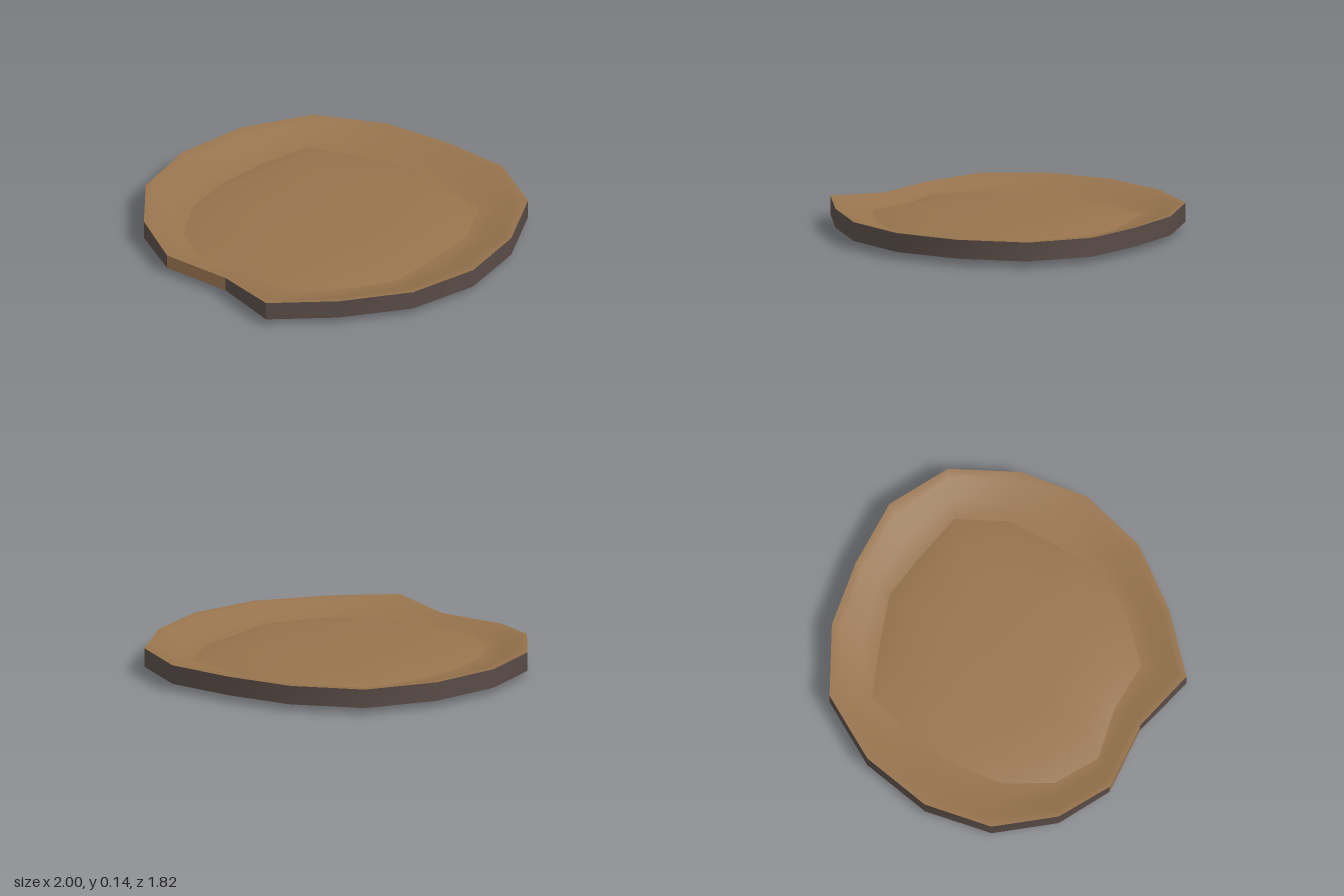
import * as THREE from 'three';

// Outer rim and inner valley outlines as [x, z], clockwise from the back
const OUTER = [
  [0.07, -0.91], [0.43, -0.75], [0.7, -0.505], [0.935, -0.22],
  [1, 0.135], [0.84, 0.48], [0.585, 0.745], [0.235, 0.895],
  [-0.16, 0.905], [-0.535, 0.848], [-0.685, 0.527], [-0.94, 0.25],
  [-1, -0.06], [-0.92, -0.405], [-0.675, -0.68], [-0.325, -0.86],
];
const INNER = [
  [0, -0.7], [0.26, -0.55], [0.49, -0.4], [0.61, -0.2],
  [0.75, 0.07], [0.63, 0.33], [0.36, 0.55], [0.2, 0.67],
  [-0.09, 0.7], [-0.37, 0.66], [-0.54, 0.44], [-0.76, 0.26],
  [-0.8, 0], [-0.7, -0.25], [-0.51, -0.44], [-0.28, -0.58],
];
const N = OUTER.length;
const TIP = 9, NOTCH_A = 10, NOTCH_B = 11;
const WALL_BOTTOM = 0.035, VALLEY = 0.073;

// The rim dips along the notch
const rimHeight = (i) => (i === NOTCH_A || i === NOTCH_B ? 0.11 : 0.135);

// Skin between rows of points; closed rows join their last point to the first
function loft(rows, closed) {
  const n = rows[0].length;
  const index = [];
  for (let r = 0; r < rows.length - 1; r++) {
    for (let i = 0; i < (closed ? n : n - 1); i++) {
      const j = (i + 1) % n;
      const a = r * n + i, b = r * n + j, c = a + n, d = b + n;
      index.push(a, c, b, b, c, d);
    }
  }
  const g = new THREE.BufferGeometry();
  g.setAttribute('position', new THREE.Float32BufferAttribute(rows.flat(2), 3));
  g.setIndex(index);
  g.computeVertexNormals();
  return g;
}

// Outline scaled about the centre at one height
const ring = (outline, scale, y) => outline.map(([x, z]) => [x * scale, y, z * scale]);

// Row part of the way from the rim to the valley, with a share of the drop
const slopeRow = (t, drop) => OUTER.map(([x, z], i) => [
  x + (INNER[i][0] - x) * t,
  rimHeight(i) + (VALLEY - rimHeight(i)) * drop,
  z + (INNER[i][1] - z) * t,
]);

// Vertical wall along count segments of the outline
function wall(start, count) {
  const ids = Array.from({ length: count + 1 }, (_, k) => (start + k) % N);
  const at = (height) => ids.map((i) => [OUTER[i][0], height(i), OUTER[i][1]]);
  return loft([at(() => WALL_BOTTOM), at(rimHeight)], false);
}

export function createModel() {
  const group = new THREE.Group();
  const tan = new THREE.MeshStandardMaterial({ color: 0x96734d });
  tan.name = 'tan brown';
  const dark = new THREE.MeshStandardMaterial({ color: 0x584b45 });
  dark.name = 'dark brown';

  const add = (name, geometry, material) => {
    const mesh = new THREE.Mesh(geometry, material);
    mesh.name = name;
    group.add(mesh);
  };

  // Dished rim sloping down to the valley
  add('rim', loft([
    slopeRow(0, 0), slopeRow(0.2, 0.06), slopeRow(0.62, 0.85), slopeRow(1, 1),
  ], true), tan);

  // Low mound filling the middle
  add('mound', loft([
    ring(INNER, 1, VALLEY), ring(INNER, 0.82, 0.1),
    ring(INNER, 0.5, 0.111), ring(INNER, 0, 0.113),
  ], true), tan);

  // Outer wall, broken at the pointed tip and the notch
  add('outerWall', wall(NOTCH_B, N - 2), dark);
  add('tipWall', wall(TIP, 1), dark);
  add('notchWall', wall(NOTCH_A, 1), tan);

  // Shallow underside
  add('underside', loft([
    ring(OUTER, 0, 0), ring(OUTER, 0.5, 0.014), ring(OUTER, 1, WALL_BOTTOM),
  ], true), dark);

  return group;
}
